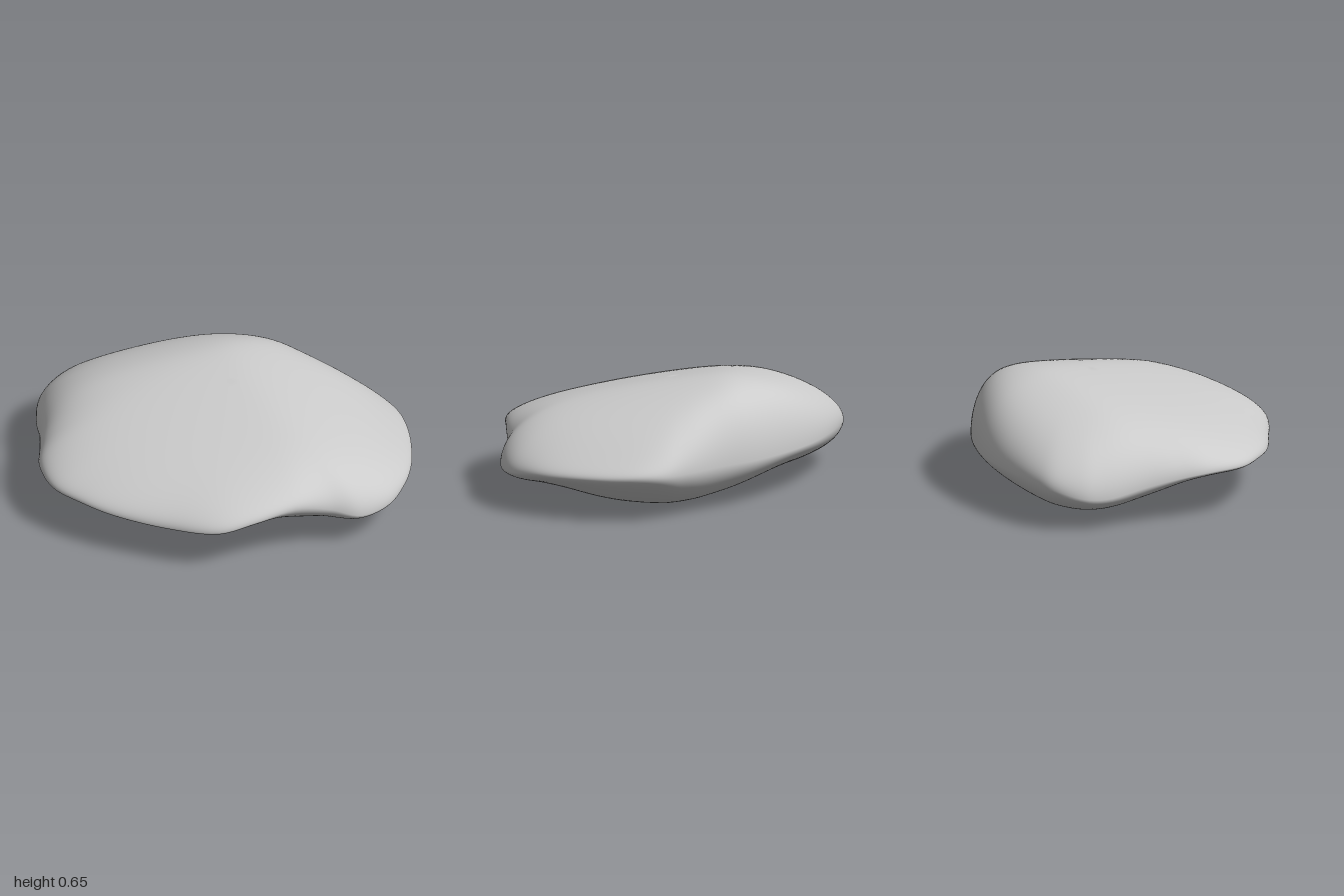
import * as THREE from 'three';

// Rim of the stone, clockwise seen from above: x, y, z
const RIM = [
  [-1, .27, -.02], [-.96, .27, -.24], [-.87, .25, -.4], [-.78, .22, -.56], [-.68, .18, -.78],
  [-.6, .19, -.89], [-.45, .23, -.96], [-.3, .25, -.95], [0, .26, -.86], [.22, .26, -.75],
  [.42, .26, -.6], [.6, .26, -.42], [.75, .26, -.2], [.89, .26, -.02], [.98, .26, .12],
  [1, .26, .24], [.96, .25, .42], [.83, .24, .68], [.7, .23, .83], [.55, .21, .93],
  [.36, .21, .96], [.2, .27, .91], [0, .33, .9], [-.25, .31, .88], [-.44, .27, .82],
  [-.65, .25, .6], [-.85, .26, .35], [-.94, .27, .18],
].map(p => new THREE.Vector3(...p));

// Lowest line of the underside, from the back to the front
const KEEL = [[-.5, .05, -.75], [-.15, .065, -.3], [.3, 0, .15], [.42, .12, .8]]
  .map(p => new THREE.Vector3(...p));

// Smooth maximum of two values
const softMax = (a, b, e) => (a + b + Math.sqrt((a - b) ** 2 + e * e)) / 2;

// Gently domed upper face, highest a little behind the middle
function topHeight(x, z) {
  const dx = x - .2;
  const front = softMax(z + .28, 0, .1);
  const back = softMax(-z - .28 - .3 * softMax(-dx, 0, .1), 0, .1);
  const left = softMax(-dx, 0, .1), right = softMax(dx + .15 * front, 0, .1);
  return .667 - .13 * left - .09 * left * left - .36 * right * right
    - .1 * front - .06 * front * front - .2 * back - .28 * back * back;
}

// Underside rising away from the keel, steeper towards the front left edge
function bottomHeight(x, z) {
  const rise = .48 - .16 * THREE.MathUtils.smoothstep(x - .8 * z, -.3, .5);
  let sum = 0;
  for (let i = 0; i < KEEL.length - 1; i++) {
    const a = KEEL[i], b = KEEL[i + 1];
    const ex = b.x - a.x, ez = b.z - a.z, px = x - a.x, pz = z - a.z;
    const k = THREE.MathUtils.clamp((px * ex + pz * ez) / (ex * ex + ez * ez), 0, 1);
    const d2 = (px - k * ex) ** 2 + (pz - k * ez) ** 2;
    sum += Math.exp(-60 * (a.y + k * (b.y - a.y) + rise * d2));
  }
  return .01 - Math.log(sum) / 60;
}

function stoneGeometry(around = 160, rings = 72) {
  const curve = new THREE.CatmullRomCurve3(RIM, true, 'centripetal');
  const rim = Array.from({ length: around }, (_, i) => curve.getPoint(i / around));
  const cx = .1, cz = 0;
  const positions = [], index = [];
  // Rings run from the top pole over the rim to the bottom pole
  for (let j = 0; j <= rings; j++) {
    const t = Math.sin(Math.PI * j / rings);
    const upper = j <= rings / 2;
    const swell = Math.sqrt(Math.max(0, 1 - t ** (upper ? 8 : 6)));
    rim.forEach((r, i) => {
      const x = cx + (r.x - cx) * t, z = cz + (r.z - cz) * t;
      const base = .25 + (r.y - .25) * t * t;
      const h = upper
        ? softMax(topHeight(x, z), base + .05, .06)
        : -softMax(-bottomHeight(x, z), .05 - base, .04);
      positions.push(x, Math.max(0, base + (h - base) * swell), z);
      const n = (i + 1) % around, a = j * around;
      if (j > 0 && j < rings) index.push(a + i, a + n, a + around + i);
      if (j < rings - 1) index.push(a + n, a + around + n, a + around + i);
    });
  }
  const g = new THREE.BufferGeometry();
  g.setAttribute('position', new THREE.Float32BufferAttribute(positions, 3));
  g.setIndex(index);
  g.computeVertexNormals();
  // Each pole has one upright normal
  for (let i = 0; i < around; i++) {
    g.attributes.normal.setXYZ(i, 0, 1, 0);
    g.attributes.normal.setXYZ(rings * around + i, 0, -1, 0);
  }
  return g;
}

export function createModel() {
  const group = new THREE.Group();
  group.name = 'flatStone';
  const stone = new THREE.Mesh(stoneGeometry(), new THREE.MeshStandardMaterial({ color: 0xcccccc }));
  stone.name = 'stone';
  group.add(stone);
  return group;
}
